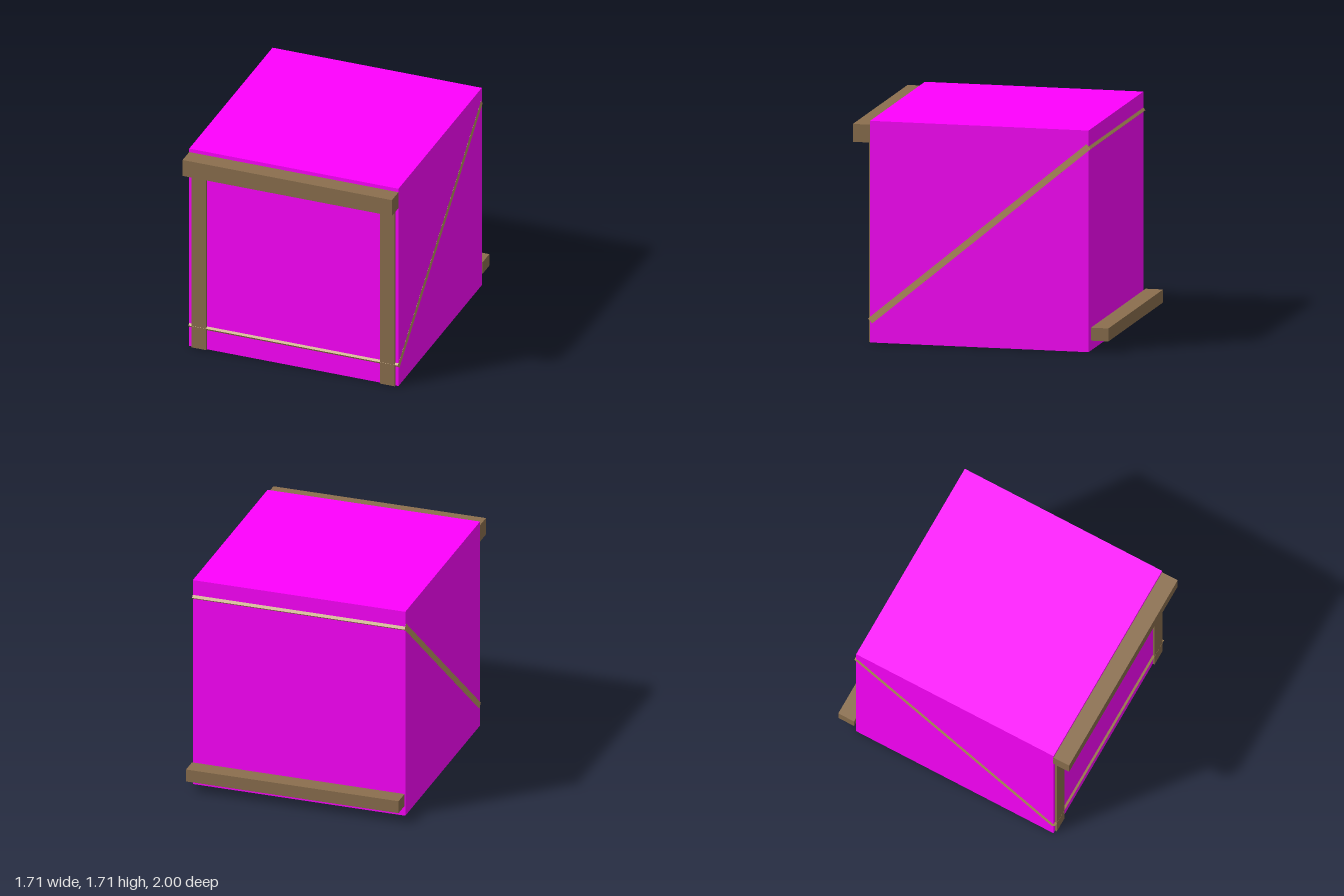
import * as THREE from 'three';

const WIDTH = 1.71;

export function createModel() {
  const model = new THREE.Group();
  const material = (color) => new THREE.MeshStandardMaterial({ color });
  const magenta = material(0xff00ff);
  const wood = material(0x8b6f4e);
  const paleWood = material(0xb8945f);

  // Box given by its extents along each axis
  function box(name, mat, [x0, x1], [y0, y1], [z0, z1]) {
    const mesh = new THREE.Mesh(new THREE.BoxGeometry(x1 - x0, y1 - y0, z1 - z0), mat);
    mesh.name = name;
    mesh.position.set((x0 + x1) / 2, (y0 + y1) / 2, (z0 + z1) / 2);
    model.add(mesh);
    return mesh;
  }
  const across = [-WIDTH / 2, WIDTH / 2];

  // Main block
  box('block', magenta, across, [0, 1.71], [-0.845, 0.865]);

  // Front frame: two posts under a heavy beam
  box('leftPost', wood, [0.71, 0.83], [0, 1.545], [0.76, 0.88]);
  box('rightPost', wood, [-0.83, -0.71], [0, 1.545], [0.76, 0.88]);
  box('frontBeam', wood, across, [1.542, 1.68], [0.863, 1]);

  // Low beam standing just clear of the back
  box('backBeam', wood, across, [0.09, 0.19], [-1, -0.863]);

  // Sloping plank through the block, from the high back to the low front;
  // its ends peep out of both faces and its edges lie flush with the sides
  const thickness = 0.05;
  const frontTip = new THREE.Vector2(0.881, 0.185); // upper corner (z, y)
  const backTip = new THREE.Vector2(-0.861, 1.567); // lower corner (z, y)
  const span = frontTip.clone().sub(backTip);
  const length = Math.sqrt(span.lengthSq() - thickness * thickness);
  const slope = Math.atan2(-span.y, span.x) + Math.atan2(thickness, length);
  const plank = new THREE.Mesh(new THREE.BoxGeometry(WIDTH + 0.001, thickness, length), paleWood);
  plank.name = 'slopingPlank';
  plank.position.set(0, (frontTip.y + backTip.y) / 2, (frontTip.x + backTip.x) / 2);
  plank.rotation.x = slope;
  model.add(plank);

  return model;
}
